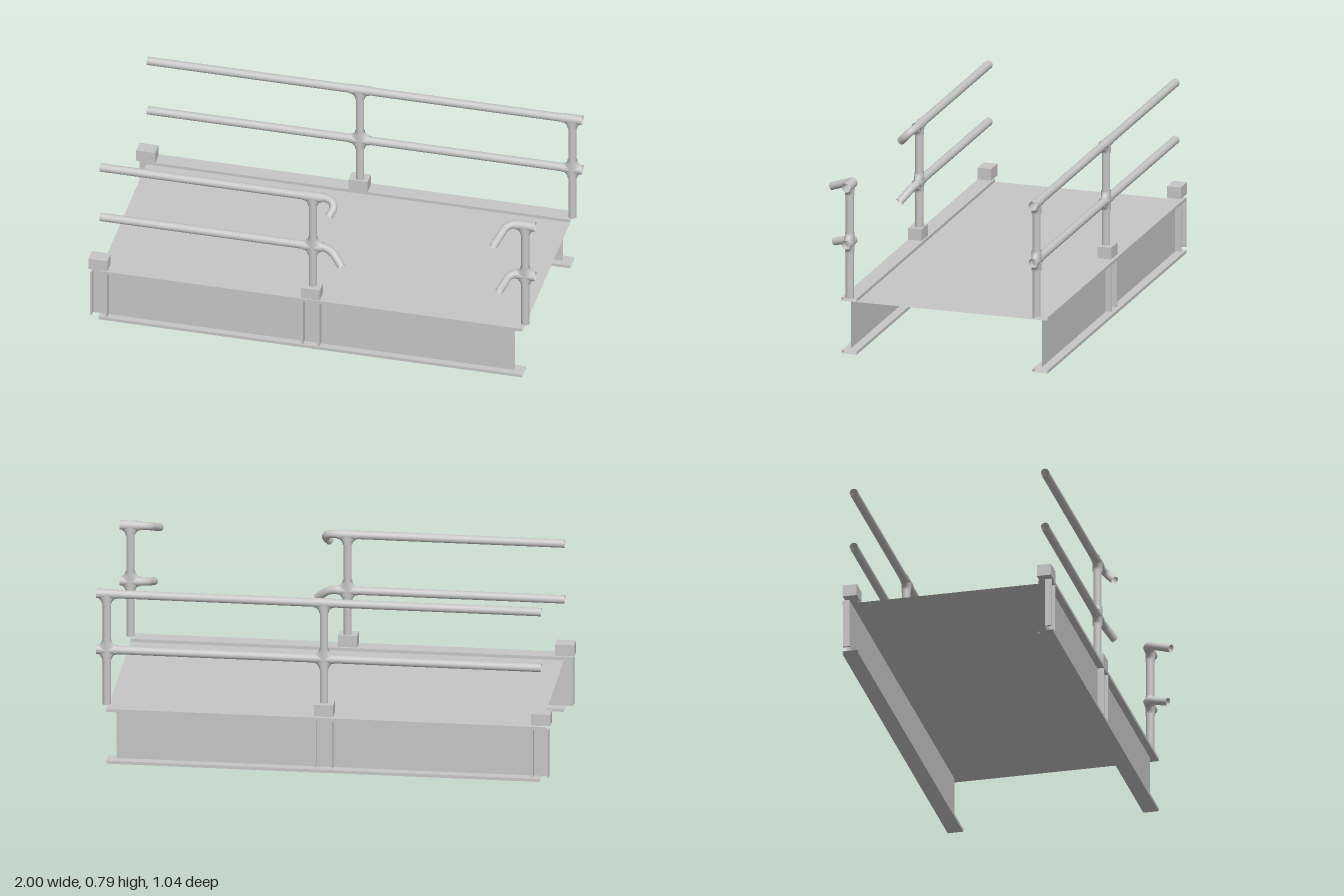
import * as THREE from 'three';

export function createModel() {
  const model = new THREE.Group();
  const steel = new THREE.MeshStandardMaterial({ color: 0xc6c6c6, side: THREE.DoubleSide });
  steel.name = 'grey steel';

  const add = (name, geometry, x = 0, y = 0, z = 0) => {
    const mesh = new THREE.Mesh(geometry, steel);
    mesh.name = name;
    mesh.position.set(x, y, z);
    model.add(mesh);
    return mesh;
  };
  // Box given by its limits on each axis
  const box = (name, x0, x1, y0, y1, z0, z1) =>
    add(name, new THREE.BoxGeometry(x1 - x0, y1 - y0, z1 - z0),
      (x0 + x1) / 2, (y0 + y1) / 2, (z0 + z1) / 2);
  // Flange strip, open at both ends: the first twelve indices are the x faces
  const flange = (name, y0, y1, z0, z1) => {
    const g = box(name, -0.955, 0.95, y0, y1, z0, z1).geometry;
    g.setIndex(Array.from(g.index.array).slice(12));
    g.clearGroups();
  };
  // Open pipes along x and y
  const pipeX = (name, x0, x1, y, z, r) => {
    const g = new THREE.CylinderGeometry(r, r, x1 - x0, 24, 1, true);
    add(name, g.rotateZ(Math.PI / 2), (x0 + x1) / 2, y, z);
  };
  const pipeY = (name, x, y0, y1, z, r) =>
    add(name, new THREE.CylinderGeometry(r, r, y1 - y0, 24, 1, true), x, (y0 + y1) / 2, z);

  // Branch of a fitting: saddles onto the rail and widens along it like a fillet
  const sleeveRadius = 0.0212, reach = 0.045;
  const branch = (x, y, z, angle) => {
    const g = new THREE.CylinderGeometry(sleeveRadius, sleeveRadius, reach, 32, 10, true);
    g.translate(0, reach / 2, 0);
    const p = g.attributes.position;
    for (let i = 0; i < p.count; i++) {
      const saddle = Math.sqrt(Math.max(0, sleeveRadius ** 2 - p.getZ(i) ** 2));
      const t = p.getY(i) / reach;
      p.setY(i, saddle + (reach - saddle) * t);
      p.setX(i, p.getX(i) * (1 + 0.75 * (1 - t) ** 2));
    }
    g.computeVertexNormals();
    add('fittingBranch', g, x, y, z).rotation.z = angle;
  };
  const bentPipe = (name, points) => {
    const path = new THREE.CatmullRomCurve3(points.map((p) => new THREE.Vector3(...p)));
    add(name, new THREE.TubeGeometry(path, 32, 0.0175, 20, false));
  };

  const topY = 0.773, midY = 0.513, endX = 0.955;

  // Deck sheet between the beams, level with the underside of the top flanges
  const deck = new THREE.PlaneGeometry(1.905, 0.81).rotateX(-Math.PI / 2);
  add('deck', deck, -0.0025, 0.241, -0.045);

  // Side beams with outward stiffeners and post sockets
  const sides = [
    { out: 1, web: 0.4, flange: [0.36, 0.43], block: [0.365, 0.428], rail: 0.39 },
    { out: -1, web: -0.48, flange: [-0.52, -0.45], block: [-0.508, -0.445], rail: -0.47 },
  ];
  for (const s of sides) {
    flange('topFlange', 0.241, 0.255, ...s.flange);
    flange('bottomFlange', 0, 0.014, ...s.flange);
    add('beamWeb', new THREE.PlaneGeometry(1.9, 0.227), -0.04, 0.1275, s.web);

    // Channel stiffeners: two plates standing out from the web
    const zs = [s.web, s.web + s.out * 0.029].sort((a, b) => a - b);
    for (const [x0, x1] of [[-0.993, -0.915], [-0.043, 0.04]]) {
      box('stiffenerPlate', x0, x0 + 0.009, 0.018, 0.241, ...zs);
      box('stiffenerPlate', x1 - 0.009, x1, 0.018, 0.241, ...zs);
    }
    for (const [x0, x1] of [[-1, -0.915], [-0.045, 0.04]]) {
      box('postSocket', x0, x1, 0.257, 0.31, ...s.block);
    }

    // Upright posts, stopping short of the bore of the top rail
    for (const x of [0, endX]) {
      pipeY('post', x, 0.26, topY - 0.022, s.rail, 0.018);
      branch(x, topY, s.rail, Math.PI);
      branch(x, midY, s.rail, Math.PI);
      branch(x, midY, s.rail, 0);
      for (const y of [topY, midY]) {
        pipeX('railSleeve', x - reach, x + reach, y, s.rail, sleeveRadius);
      }
    }
  }

  // Long rails at the back, short rails at the front
  for (const y of [topY, midY]) {
    pipeX('backRail', -0.955, 0.998, y, -0.47, 0.0185);
    pipeX('frontRail', -0.955, 0.035, y, 0.39, 0.0185);
    pipeX('frontRailStub', 0.91, 0.998, y, 0.39, 0.0185);
  }

  // Bent rail ends either side of the front opening
  bentPipe('topRailHook', [[0.02, topY, 0.39], [0.06, topY, 0.39],
    [0.09, 0.764, 0.402], [0.098, 0.745, 0.42], [0.085, 0.718, 0.446]]);
  bentPipe('middleRailHook', [[0.02, midY, 0.39], [0.05, midY, 0.39],
    [0.085, 0.503, 0.4], [0.11, 0.484, 0.414], [0.138, 0.457, 0.434]]);
  bentPipe('endTopHook', [[0.94, topY, 0.39], [0.905, topY, 0.39],
    [0.875, 0.765, 0.41], [0.86, 0.75, 0.447], [0.84, 0.724, 0.512]]);
  bentPipe('endMiddleHook', [[0.94, midY, 0.39], [0.91, midY, 0.39],
    [0.885, 0.506, 0.41], [0.874, 0.494, 0.445], [0.862, 0.48, 0.492]]);

  return model;
}
